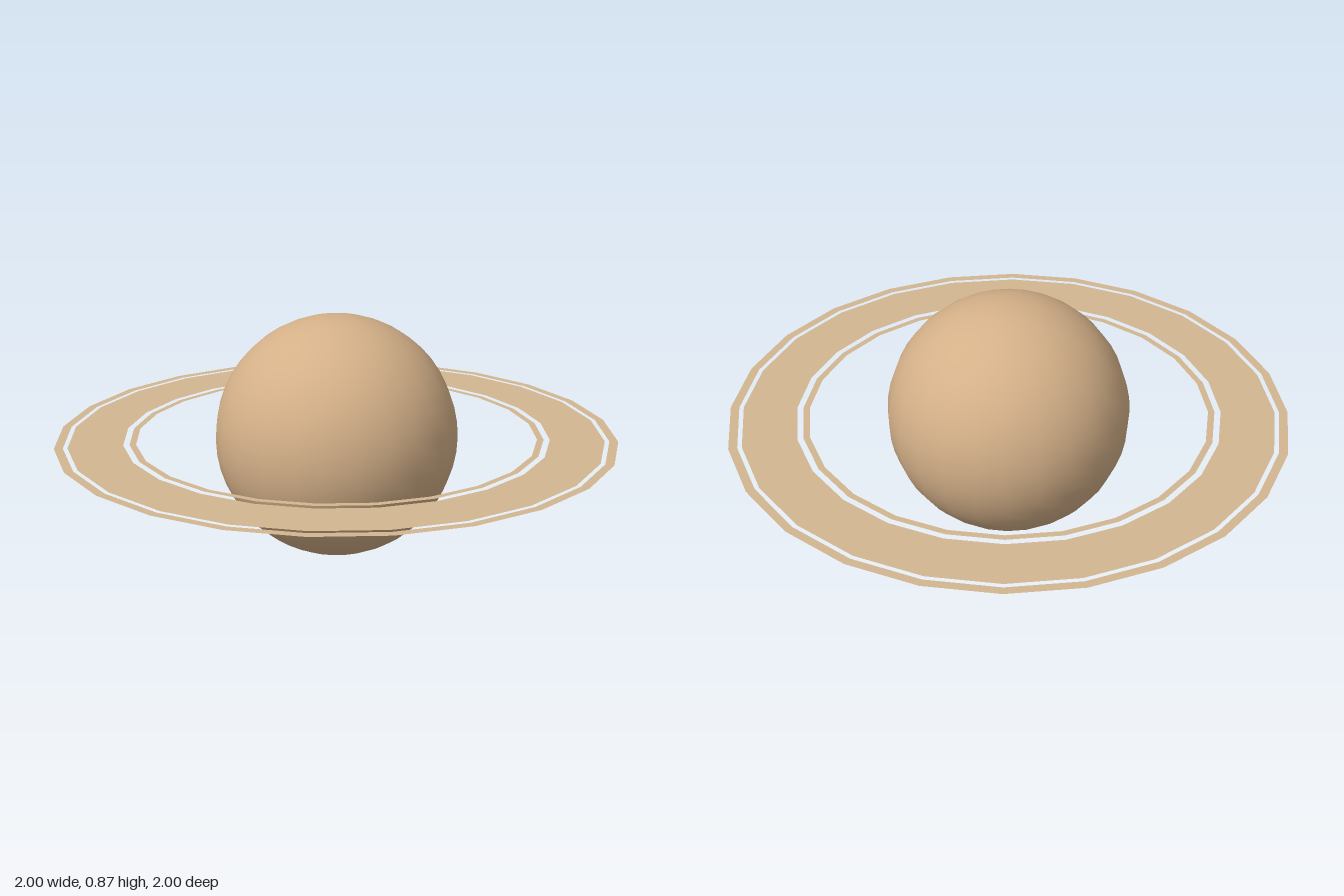
import * as THREE from 'three';

const RADIUS = 0.434;
const SIDES = 24;

// Flat band lying in the equatorial plane
function band(name, inner, outer, material) {
  const geometry = new THREE.RingGeometry(inner, outer, SIDES).rotateX(-Math.PI / 2);
  const mesh = new THREE.Mesh(geometry, material);
  mesh.name = name;
  return mesh;
}

export function createModel() {
  const model = new THREE.Group();
  model.name = 'ringedPlanet';

  const planetTan = new THREE.MeshStandardMaterial({ color: 0xd4b088 });
  planetTan.name = 'planetTan';
  const ringSand = new THREE.MeshStandardMaterial({ color: 0xd2b691, side: THREE.DoubleSide });
  ringSand.name = 'ringSand';

  // Smooth globe resting on the ground
  const planet = new THREE.Mesh(new THREE.SphereGeometry(RADIUS, SIDES, SIDES), planetTan);
  planet.name = 'planet';
  planet.position.y = RADIUS;
  model.add(planet);

  // Three concentric rings separated by narrow gaps
  const rings = new THREE.Group();
  rings.name = 'rings';
  rings.position.y = RADIUS;
  rings.add(
    band('innerRing', 0.715, 0.738, ringSand),
    band('mainRing', 0.76, 0.953, ringSand),
    band('outerRing', 0.969, 1, ringSand),
  );
  model.add(rings);

  return model;
}
